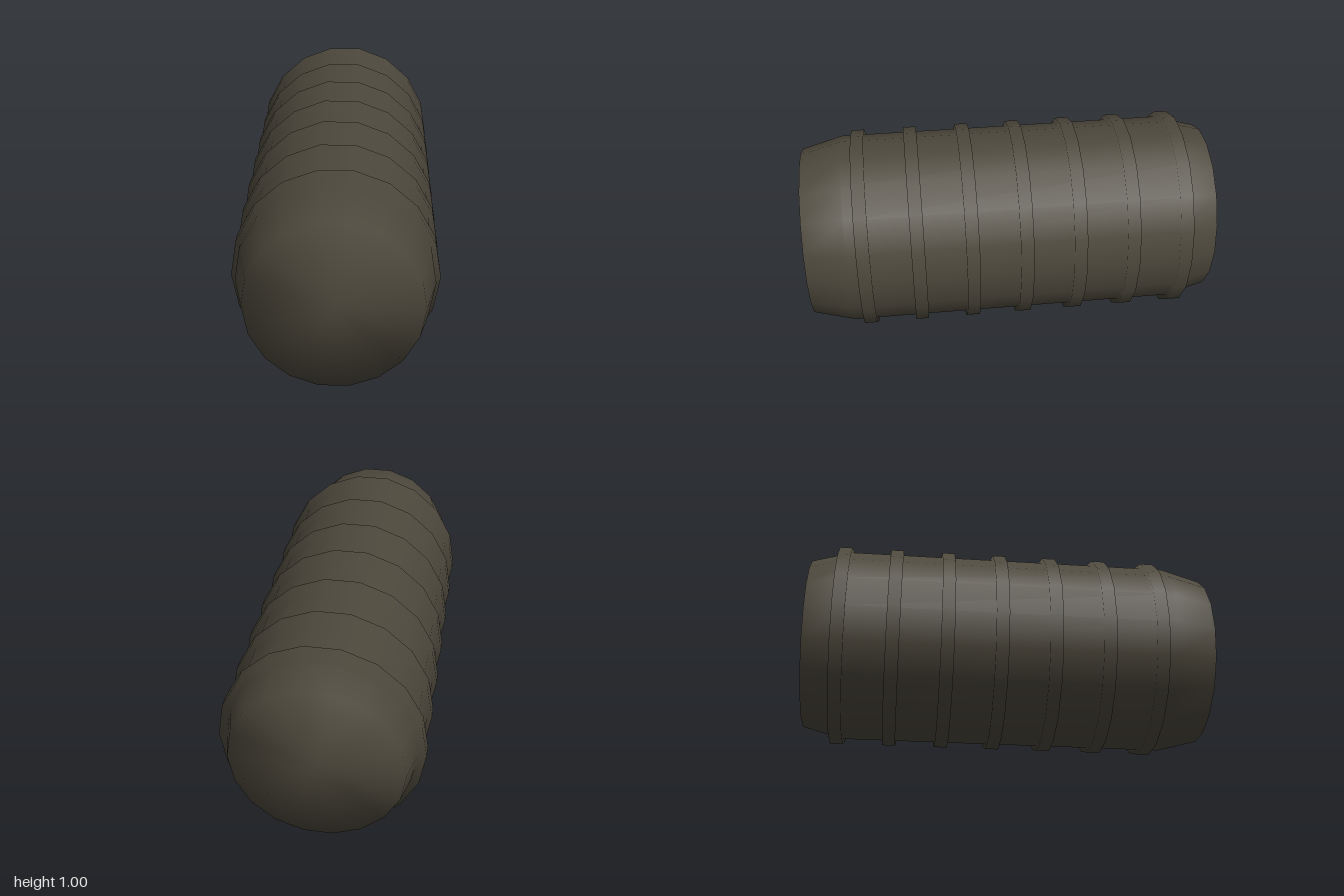
import * as THREE from 'three';

const SIDES = 18;
const HEIGHT_RATIO = 1.073; // the section is slightly taller than wide

// Turns a [radius, z] profile around the z axis, with normals that run smoothly over its corners.
function turned(profile) {
  const points = profile.map(([r, z]) => new THREE.Vector2(r, z));
  const geometry = new THREE.LatheGeometry(points, SIDES, Math.PI / 2);
  geometry.rotateX(Math.PI / 2);
  geometry.scale(1, HEIGHT_RATIO, 1);
  const pos = geometry.attributes.position;
  const normal = geometry.attributes.normal;
  const n = new THREE.Vector3();
  for (let i = 0; i < pos.count; i++) {
    const x = pos.getX(i), y = pos.getY(i), z = pos.getZ(i);
    n.set(x, y / HEIGHT_RATIO ** 2, 0);
    if (n.length() < 1e-4) n.set(0, 0, Math.sign(z)); // centre of an end face
    else {
      n.normalize();
      if (Math.abs(z) > 0.99) n.z = 0.25 * Math.sign(z); // tapered rim
      n.normalize();
    }
    normal.setXYZ(i, n.x, n.y, n.z);
  }
  return geometry;
}

export function createModel() {
  const model = new THREE.Group();
  model.name = 'ribbedBarrel';
  const darkOlive = new THREE.MeshStandardMaterial({ color: 0x4d483c });
  darkOlive.name = 'darkOlive';

  const add = (name, geometry) => {
    const mesh = new THREE.Mesh(geometry, darkOlive);
    mesh.name = name;
    mesh.position.y = 0.5;
    model.add(mesh);
  };

  // Body with tapered, closed ends
  add('body', turned([[0, -1], [0.4, -1], [0.45, -0.8], [0.45, 0.8], [0.4, 1], [0, 1]]));

  // Seven evenly spaced raised bands
  for (let i = 0; i < 7; i++) {
    const z = 0.72 - i * 0.2587, h = 0.032;
    add(`band${i + 1}`, turned([[0.42, z - h], [0.473, z - h], [0.473, z + h], [0.42, z + h]]));
  }
  return model;
}
